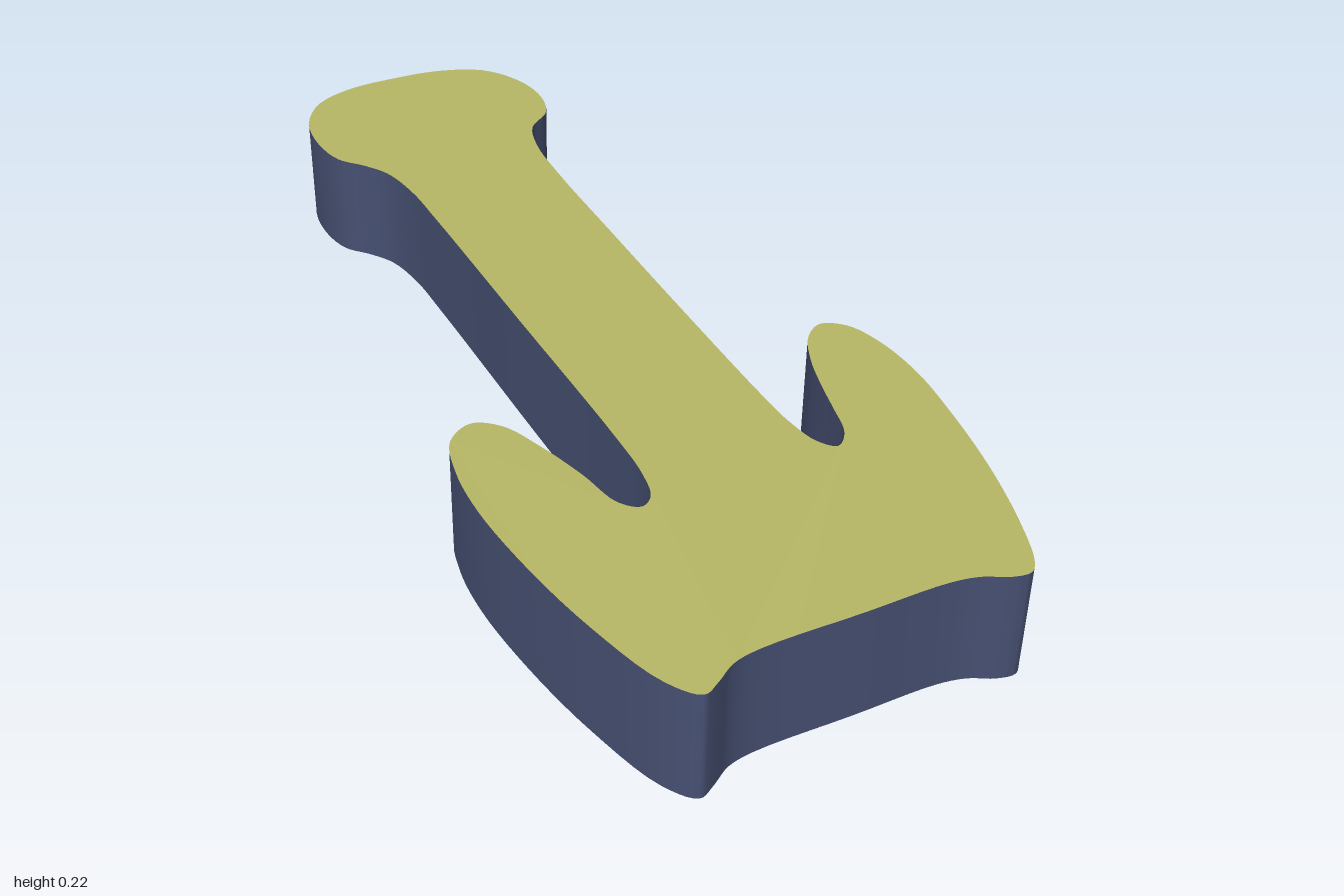
import * as THREE from 'three';
import { toCreasedNormals } from 'three/addons/utils/BufferGeometryUtils.js';

const HEIGHT = 0.215;

// Outline seen from above as [x, z], running round from the front edge
const right = [
  // front edge and corner
  [0, 0.95], [0.16, 0.95], [0.21, 0.96], [0.25, 0.98], [0.285, 0.985], [0.305, 0.965],
  // barb
  [0.34, 0.88], [0.38, 0.74], [0.41, 0.58], [0.424, 0.45], [0.415, 0.34], [0.39, 0.275],
  [0.35, 0.25], [0.31, 0.275], [0.275, 0.34], [0.25, 0.42],
  // notch
  [0.235, 0.48], [0.215, 0.55], [0.185, 0.578], [0.16, 0.55], [0.146, 0.48],
  // shaft
  [0.143, 0.4], [0.145, 0.1], [0.15, -0.2], [0.155, -0.45], [0.165, -0.58],
  // knob
  [0.19, -0.66], [0.245, -0.71], [0.265, -0.79], [0.25, -0.875], [0.2, -0.95], [0.11, -0.99],
];
const left = [
  // knob
  [0, -1], [-0.1, -0.994], [-0.18, -0.96], [-0.23, -0.89], [-0.245, -0.8], [-0.23, -0.71], [-0.19, -0.66],
  // shaft
  [-0.16, -0.61], [-0.143, -0.52], [-0.14, -0.4], [-0.14, 0], [-0.14, 0.4],
  // notch
  [-0.145, 0.5], [-0.16, 0.56], [-0.185, 0.577], [-0.215, 0.55], [-0.235, 0.46],
  // barb
  [-0.265, 0.36], [-0.3, 0.28], [-0.345, 0.25], [-0.395, 0.28], [-0.42, 0.36],
  [-0.428, 0.47], [-0.415, 0.63], [-0.385, 0.8], [-0.34, 0.95],
  // front corner
  [-0.3, 0.998], [-0.27, 0.985], [-0.23, 0.96], [-0.18, 0.95],
];

export function createModel() {
  const points = [...right, ...left].map(([x, z]) => new THREE.Vector3(x, -z, 0));
  const curve = new THREE.CatmullRomCurve3(points, true, 'centripetal');
  const outline = curve.getPoints(points.length * 5).slice(0, -1);
  const shape = new THREE.Shape(outline.map((p) => new THREE.Vector2(p.x, p.y)));

  // Flat plate with smooth walls and crisp rims, laid on the ground
  const extruded = new THREE.ExtrudeGeometry(shape, { depth: HEIGHT, bevelEnabled: false });
  extruded.rotateX(-Math.PI / 2);
  const geometry = toCreasedNormals(extruded, Math.PI / 5);

  const faces = new THREE.MeshStandardMaterial({ color: 0xb8b866 });
  const walls = new THREE.MeshStandardMaterial({ color: 0x465072 });
  const plate = new THREE.Mesh(geometry, [faces, walls]);
  plate.name = 'arrowPlate';

  const group = new THREE.Group();
  group.name = 'arrow';
  group.add(plate);
  return group;
}
